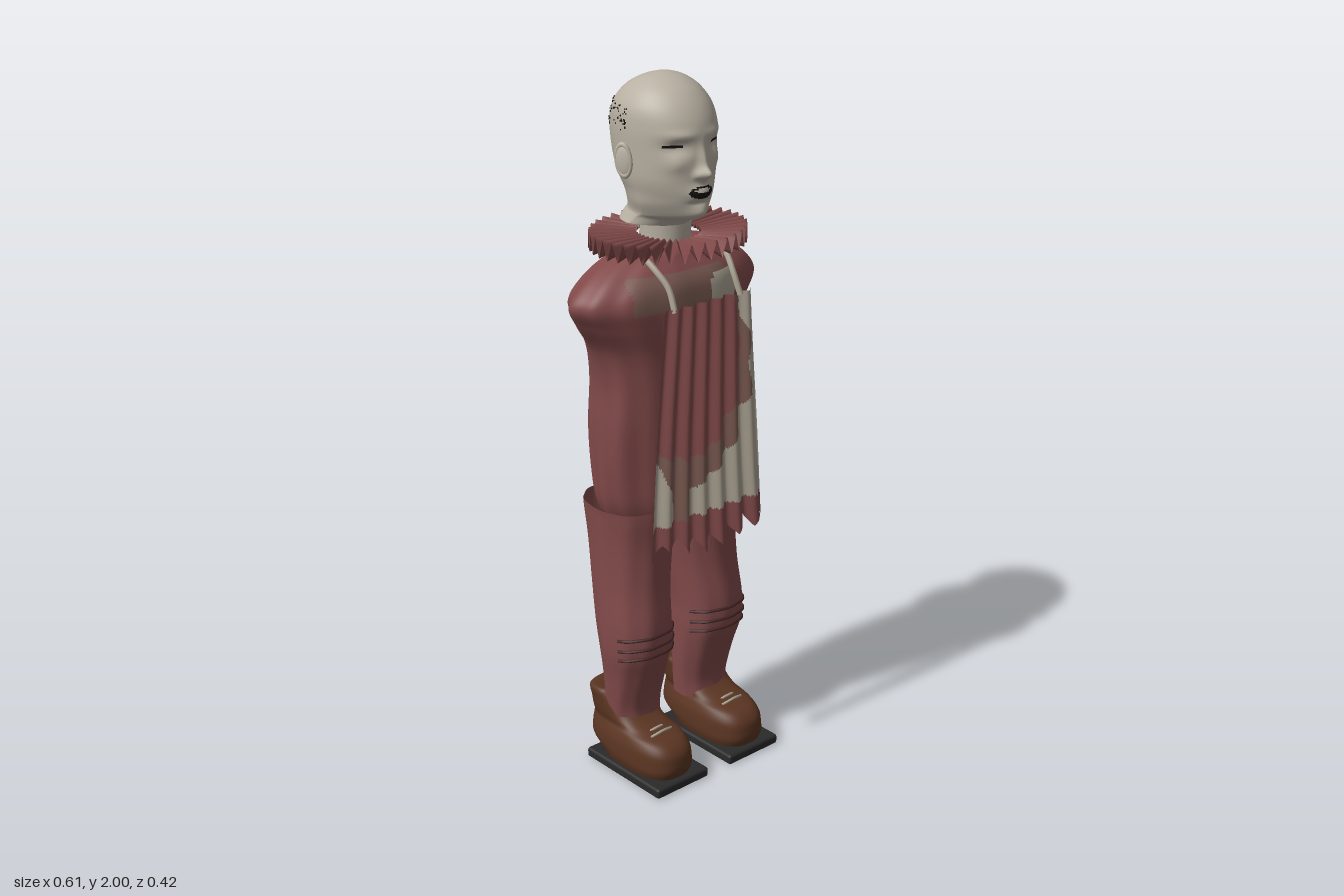
import * as THREE from 'three';
import { mergeGeometries } from 'three/addons/utils/BufferGeometryUtils.js';
import { RoundedBoxGeometry } from 'three/addons/geometries/RoundedBoxGeometry.js';

const paint = (name, color, side = THREE.FrontSide) => {
  const m = new THREE.MeshStandardMaterial({ color, side });
  m.name = name;
  return m;
};

// Grid surface from a rule; pick() chooses a material slot for each cell
function surface(nu, nv, rule, wrap = true, pick = () => 0) {
  const pos = [], slots = [], cols = wrap ? nu : nu + 1;
  for (let j = 0; j <= nv; j++)
    for (let i = 0; i < cols; i++) pos.push(...rule(i / nu, j / nv));
  for (let j = 0; j < nv; j++)
    for (let i = 0; i < nu; i++) {
      const n = (i + 1) % cols;
      const a = j * cols + i, b = j * cols + n, c = b + cols, d = a + cols;
      const mid = [0, 1, 2].map(k => (pos[a * 3 + k] + pos[b * 3 + k] + pos[c * 3 + k] + pos[d * 3 + k]) / 4);
      (slots[pick(...mid)] ??= []).push(a, b, c, a, c, d);
    }
  const geo = new THREE.BufferGeometry();
  geo.setAttribute('position', new THREE.Float32BufferAttribute(pos, 3));
  const index = [];
  slots.forEach((list, s) => {
    geo.addGroup(index.length, list.length, s);
    for (const k of list) index.push(k);
  });
  geo.setIndex(index);
  geo.computeVertexNormals();
  return geo;
}

// Smooth interpolation through cross-section rows
function rowAt(rows, t) {
  const f = t * (rows.length - 1), i = Math.min(Math.floor(f), rows.length - 2), s = f - i;
  const r = k => rows[Math.max(0, Math.min(rows.length - 1, k))];
  return rows[i].map((p1, c) => {
    const p0 = r(i - 1)[c], p2 = r(i + 1)[c], p3 = r(i + 2)[c];
    return p1 + 0.5 * s * (p2 - p0 + s * (2 * p0 - 5 * p1 + 4 * p2 - p3 + s * (3 * (p1 - p2) + p3 - p0)));
  });
}

// Rows are [y, centre x, half width, front z, back z]
const loftRule = (rows, power = 2, fold = () => 1) => (u, v) => {
  const [y, cx, rx, zf, zb] = rowAt(rows, v), a = u * Math.PI * 2;
  const sx = Math.sin(a), sz = Math.cos(a), e = 2 / power, k = fold(a, y);
  return [cx + k * rx * Math.sign(sx) * Math.abs(sx) ** e, y,
    (zf + zb) / 2 + k * (zf - zb) / 2 * Math.sign(sz) * Math.abs(sz) ** e];
};

const tri = t => Math.abs(((t % 1) + 1) % 1 * 2 - 1) * 2 - 1;
const bump = (x, y, cx, cy, sx, sy) => Math.exp(-(((x - cx) / sx) ** 2) - ((y - cy) / sy) ** 2);
const inside = (x, y, cx, cy, rx, ry) => ((x - cx) / rx) ** 2 + ((y - cy) / ry) ** 2 < 1;

export function createModel() {
  const model = new THREE.Group();
  const skin = paint('pale skin', 0xb8b0a2), black = paint('black', 0x14110f);
  const red = paint('faded red', 0x824a4a, THREE.DoubleSide);
  const cream = paint('cream cloth', 0xaca494, THREE.DoubleSide);
  const rose = paint('stained brown', 0x7a5a51, THREE.DoubleSide);
  const dark = paint('dark red stitching', 0x452424);
  const leather = paint('brown leather', 0x5b3522), rubber = paint('dark rubber', 0x2a2a2b);
  const add = (name, geo, mat, parent = model) => {
    const m = new THREE.Mesh(geo, mat);
    m.name = name;
    parent.add(m);
    return m;
  };
  const tube = (pts, r, n = 16) => new THREE.TubeGeometry(
    new THREE.CatmullRomCurve3(pts.map(p => new THREE.Vector3(...p))), n, r, 6);

  // Head with modelled face, open at the base of the neck
  const headRows = [
    [1.605, .008, .1, .045, -.158], [1.625, .008, .093, .075, -.148], [1.64, .008, .093, .112, -.138],
    [1.67, .008, .104, .122, -.133], [1.7, .008, .11, .125, -.143], [1.74, .008, .119, .123, -.165],
    [1.8, .01, .125, .125, -.186], [1.87, .012, .129, .121, -.193], [1.92, .012, .122, .1, -.177],
    [1.96, .012, .096, .066, -.142], [1.985, .012, .062, .026, -.098], [1.997, .012, .027, -.01, -.06],
    [2, .012, .001, -.034, -.036]];
  const headBase = loftRule(headRows);
  const headRule = (u, v) => {
    let [x, y, z] = headBase(u, v);
    const front = Math.max(0, Math.cos(u * Math.PI * 2));
    const jaw = THREE.MathUtils.smoothstep(1.75 - y, 0, .12);
    x = .008 + (x - .008) * (1 - .3 * jaw * front);
    const f = Math.min(1, front * 2), fx = x - .005, ax = Math.abs(fx);
    z += f * (.03 * bump(fx, y, 0, 1.76, .017, .017) + .014 * bump(fx, y, 0, 1.79, .012, .035)
      + .008 * bump(ax, y, .02, 1.757, .008, .009) - .014 * bump(ax, y, .06, 1.828, .03, .018)
      + .006 * bump(ax, y, .055, 1.86, .035, .012) + .006 * bump(ax, y, .07, 1.785, .022, .02)
      + .012 * bump(fx, y, 0, 1.71, .035, .02) + .01 * bump(fx, y, 0, 1.652, .028, .018)
      - .006 * bump(fx, y, 0, 1.68, .03, .008));
    return [x, y, z];
  };
  add('head', surface(180, 120, headRule, true, (x, y, z) => {
    if (z < .03) return 0;
    const fx = x - .005;
    const lips = inside(fx, y, 0, 1.71, .038, .017) && !inside(fx, y, 0, 1.716, .026, .005);
    return lips || inside(Math.abs(fx), y, .068, 1.832, .021, .007) ? 1 : 0;
  }), [skin, black]);
  add('neck', surface(32, 6, loftRule([[1.52, .012, .068, .04, -.11], [1.58, .012, .066, .045, -.1], [1.64, .012, .07, .05, -.1]])), skin);
  for (const s of [-1, 1]) {
    const ear = new THREE.Group();
    ear.name = s > 0 ? 'leftEar' : 'rightEar';
    add('earBowl', new THREE.SphereGeometry(1, 16, 12), skin, ear).scale.set(.009, .042, .024);
    const rim = add('earRim', new THREE.TorusGeometry(.03, .006, 8, 24), skin, ear);
    rim.rotation.y = Math.PI / 2;
    rim.scale.set(.72, 1.35, 1);
    ear.position.set(.008 + s * .134, 1.785, -.035);
    ear.rotation.set(-.15, s * -.4, 0);
    model.add(ear);
  }

  // Sparse dark stubble behind the temples
  let seed = 7;
  const rnd = () => (seed = (seed * 16807) % 2147483647) / 2147483647;
  const flecks = [];
  for (let i = 0; i < 90; i++) {
    const u = .25 + .17 * rnd() * rnd(), v = .57 + .11 * rnd();
    const p = headRule(i % 2 ? u : 1 - u, v), r = .0018 + .0018 * rnd();
    flecks.push(new THREE.SphereGeometry(r, 5, 4).translate(...p));
  }
  add('stubble', mergeGeometries(flecks), black);

  // Pleated ruff collar
  add('ruff', surface(288, 10, (u, v) => {
    const a = u * Math.PI * 2, w = 1 - v;
    const y = 1.563 + .008 * v + (.006 + .02 * w) * tri(u * 36);
    return [.014 + Math.sin(a) * (.085 + .143 * w), y, -.018 + Math.cos(a) * (.09 + .102 * w)];
  }), red);

  // Tunic body with stuffed shoulder stubs
  const torsoRows = [
    [.715, .013, .01, -.04, -.06], [.725, .013, .08, .01, -.13], [.76, .013, .17, .06, -.165],
    [.82, .013, .208, .08, -.175], [.92, .01, .218, .088, -.182], [1.05, .004, .216, .1, -.19],
    [1.18, 0, .208, .114, -.192], [1.28, 0, .228, .12, -.188], [1.36, -.003, .275, .122, -.178],
    [1.42, -.004, .304, .12, -.166], [1.47, 0, .27, .11, -.152], [1.515, .005, .205, .078, -.125],
    [1.545, .01, .12, .05, -.1], [1.55, .012, .03, .0, -.05]];
  add('tunic', surface(120, 90,
    loftRule(torsoRows, 2.1, (a, y) => 1 + .013 * Math.sin(13 * a + 3 * y) + .009 * Math.sin(7 * a - 9 * y)), true,
    (x, y, z) => {
      if (z < .05 || y > 1.495 || y < 1.05 || Math.abs(x) > .2) return 0;
      if (x > .055 && x < .19 && y < 1.475) return x < .15 || y < 1.36 ? 1 : 0;
      return y > 1.4 && x < .11 ? 2 : 0;
    }), [red, cream, rose]);

  // Stained apron with a ragged red hem
  add('apron', surface(112, 110, (u, v) => {
    const bottom = .7 + .022 * (1 + tri(u * 7 + .2)) + .012 * Math.sin(u * 9);
    const y = bottom + (1.42 - bottom) * v;
    const x = THREE.MathUtils.lerp(-.205, -.158, v) + u * THREE.MathUtils.lerp(.432, .325, v);
    return [x, y, .151 + (.013 - .004 * v) * Math.cos(u * Math.PI * 13 + .6 * Math.sin(v * 4))];
  }, false, (x, y) => {
    if (y < .808) return 0;
    const w = .01 * Math.sin(y * 43) + .007 * Math.sin(x * 90 + y * 20);
    if (inside(x + w, y, -.055, 1.24, .178, .27 + w) || (y > 1.33 && x < .09 + w)) return 0;
    const streak = Math.abs(x + .085 + w) < .022 && y < .98;
    return streak || inside(x + w, y, -.045, 1.22, .205, .32 + w) ? 2 : 1;
  }), [red, cream, rose]);
  for (const s of [-1, 1]) {
    const x = .006 + s * .125;
    add('apronStrap', tube([[x - s * .008, 1.41, .15], [x - s * .01, 1.47, .122], [x, 1.51, .085], [x + s * .005, 1.545, .03]], .009), cream);
  }

  // Legs and boots, mirrored about the hips
  const legRows = s => [
    [.14, .129, .08, .045, -.088], [.2, .13, .085, .042, -.088], [.3, .131, .093, .07, -.095],
    [.38, .135, .1, .095, -.102], [.46, .136, .101, .1, -.118], [.58, .128, .104, .084, -.14],
    [.7, .121, .11, .08, -.158], [.79, .127, .108, .085, -.172], [.82, .13, .108, .084, -.172]
  ].map(([y, cx, ...r]) => [y, .0125 + s * cx, ...r]);
  const bootRows = [
    [.025, 0, .082, .185, -.095], [.05, 0, .09, .195, -.11], [.075, 0, .092, .195, -.146],
    [.105, 0, .09, .188, -.148], [.13, 0, .082, .16, -.146], [.145, 0, .076, .1, -.143],
    [.165, 0, .08, .045, -.14], [.2, 0, .084, .005, -.137], [.235, 0, .086, -.03, -.135],
    [.237, 0, .06, -.04, -.11], [.225, 0, .01, -.07, -.09]];
  for (const s of [-1, 1]) {
    const leg = new THREE.Group();
    leg.name = s > 0 ? 'leftLeg' : 'rightLeg';
    model.add(leg);
    const rule = loftRule(legRows(s), 2.2, (a, y) => 1 + .014 * Math.sin(9 * a + s * 5 * y));
    add('trouserLeg', surface(64, 48, rule), red, leg);

    // Knee stitches
    for (const v of [.385, .435, .485]) {
      const pts = [];
      for (let i = -5; i <= 5; i++) {
        const [x, y, z] = rule((i / 5 * .2 + 1) % 1, v);
        pts.push([x, y - .012 * (i / 5) ** 2, z + .003]);
      }
      add('kneeStitch', tube(pts, .005, 24), dark, leg);
    }

    // Boot, laces and sole
    const boot = new THREE.Group();
    boot.name = 'boot';
    boot.position.x = .0135 + s * .138;
    leg.add(boot);
    add('bootUpper', surface(56, 44, loftRule(bootRows, 2.7)), leather, boot);
    for (const z of [.06, .085, .11])
      add('lace', tube([[-.04, .139, z], [0, .15, z + .008], [.04, .139, z - .004]], .004), cream, boot);
    add('trouserCuff', tube([[-.07, .142, .01], [-.045, .147, .038], [0, .15, .048], [.045, .147, .038], [.07, .142, .01]], .006), rose, boot);
    add('sole', new RoundedBoxGeometry(.193, .03, .318, 3, .009), rubber, boot).position.set(0, .015, .048);
  }
  return model;
}
